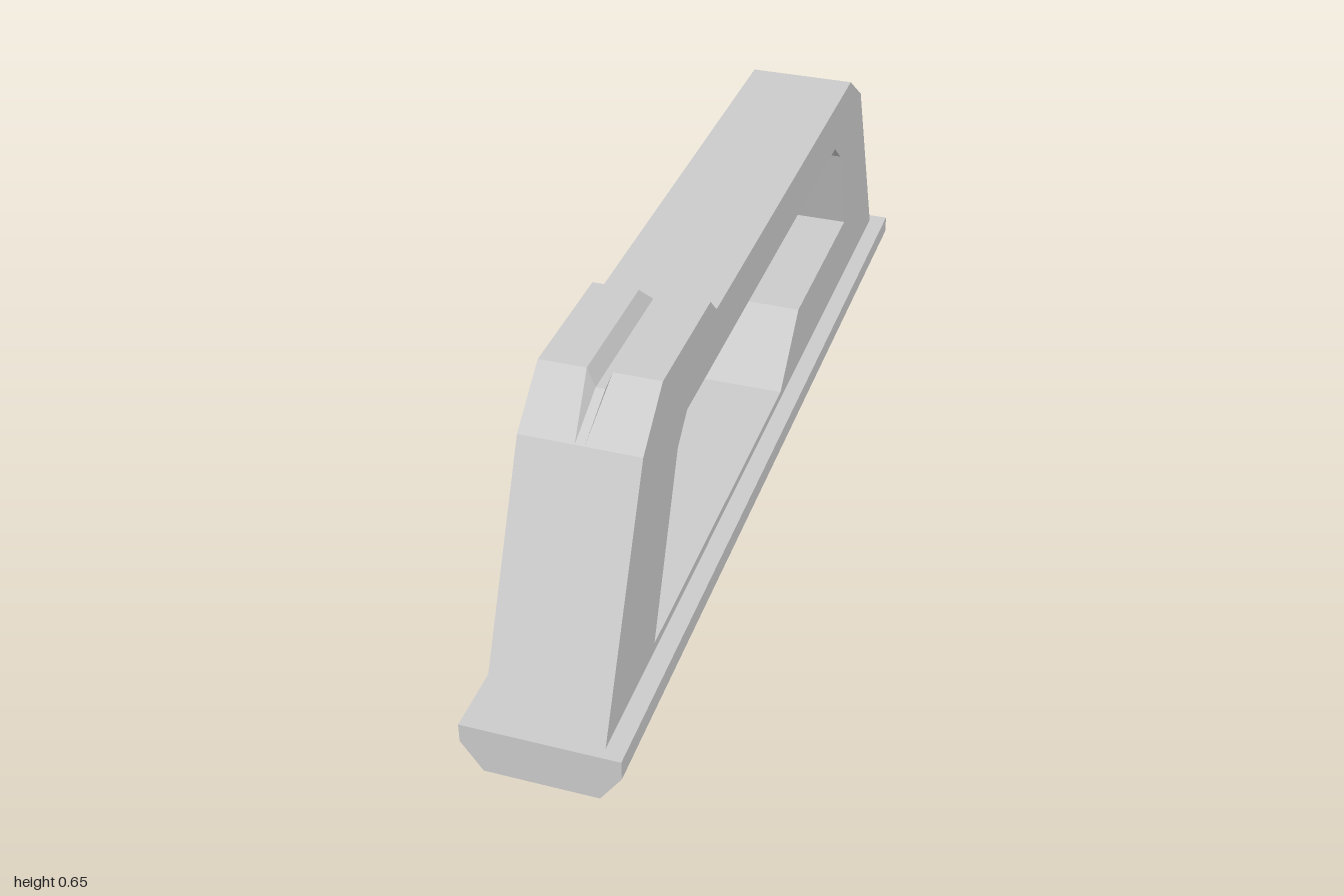
import * as THREE from 'three';

const HALF = 0.115; // half width of the handle
const material = new THREE.MeshStandardMaterial({ color: 0xcccccc, flatShading: true });
const toPoints = (list) => list.map(([a, b]) => new THREE.Vector2(a, b));

function named(name, geometry) {
  const mesh = new THREE.Mesh(geometry, material);
  mesh.name = name;
  return mesh;
}

// Long plinth with a chamfered underside
function makeBase() {
  const section = new THREE.Shape(toPoints([
    [-0.11, 0], [0.11, 0], [0.152, 0.06], [0.152, 0.1], [-0.152, 0.1], [-0.152, 0.06],
  ]));
  const geometry = new THREE.ExtrudeGeometry(section, { depth: 2, bevelEnabled: false });
  return named('base', geometry.translate(0, 0, -1));
}

// Handle loop, drawn as (z, y) and extruded across x
function makeHandle() {
  const outline = new THREE.Shape(toPoints([
    [0.977, 0.1], [0.752, 0.565], [0.645, 0.614], [-0.69, 0.614], [-0.8, 0.535], [-0.975, 0.1],
  ]));
  outline.holes.push(new THREE.Path(toPoints([
    [0.717, 0.118], [0.57, 0.46], [0.515, 0.506], [-0.56, 0.506],
    [-0.615, 0.46], [-0.685, 0.25], [-0.27, 0.25], [-0.133, 0.118],
  ])));
  const geometry = new THREE.ExtrudeGeometry(outline, { depth: 2 * HALF, bevelEnabled: false });
  return named('handle', geometry.rotateY(-Math.PI / 2).translate(HALF, 0, 0));
}

// Raised pad on one side of the front notch, lofted from front to back
function makePad(side) {
  // z, bottom y, top y, inner x at the top
  const stations = [
    [0.752, 0.565, 0.565, 0.009],
    [0.645, 0.614, 0.652, 0.024],
    [0.375, 0.614, 0.652, 0.024],
    [0.338, 0.614, 0.614, 0.009],
  ];
  const positions = [];
  const index = [];
  stations.forEach(([z, low, high, inner], i) => {
    for (const [x, y] of [[0.009, low], [inner, high], [HALF, high], [HALF, low]]) {
      positions.push(x * side, y, z);
    }
    if (i === 0) return;
    for (let k = 0; k < 3; k++) {
      const b = i * 4 + k;
      const f = b - 4;
      for (const [p, q, r] of [[f, f + 1, b + 1], [f, b + 1, b]]) {
        index.push(...(side > 0 ? [p, q, r] : [p, r, q]));
      }
    }
  });
  const geometry = new THREE.BufferGeometry();
  geometry.setAttribute('position', new THREE.Float32BufferAttribute(positions, 3));
  geometry.setIndex(index);
  const flat = geometry.toNonIndexed();
  flat.computeVertexNormals();
  return named(side > 0 ? 'leftNotchPad' : 'rightNotchPad', flat);
}

export function createModel() {
  const group = new THREE.Group();
  group.name = 'handledBlock';
  group.add(makeBase(), makeHandle(), makePad(1), makePad(-1));
  return group;
}
